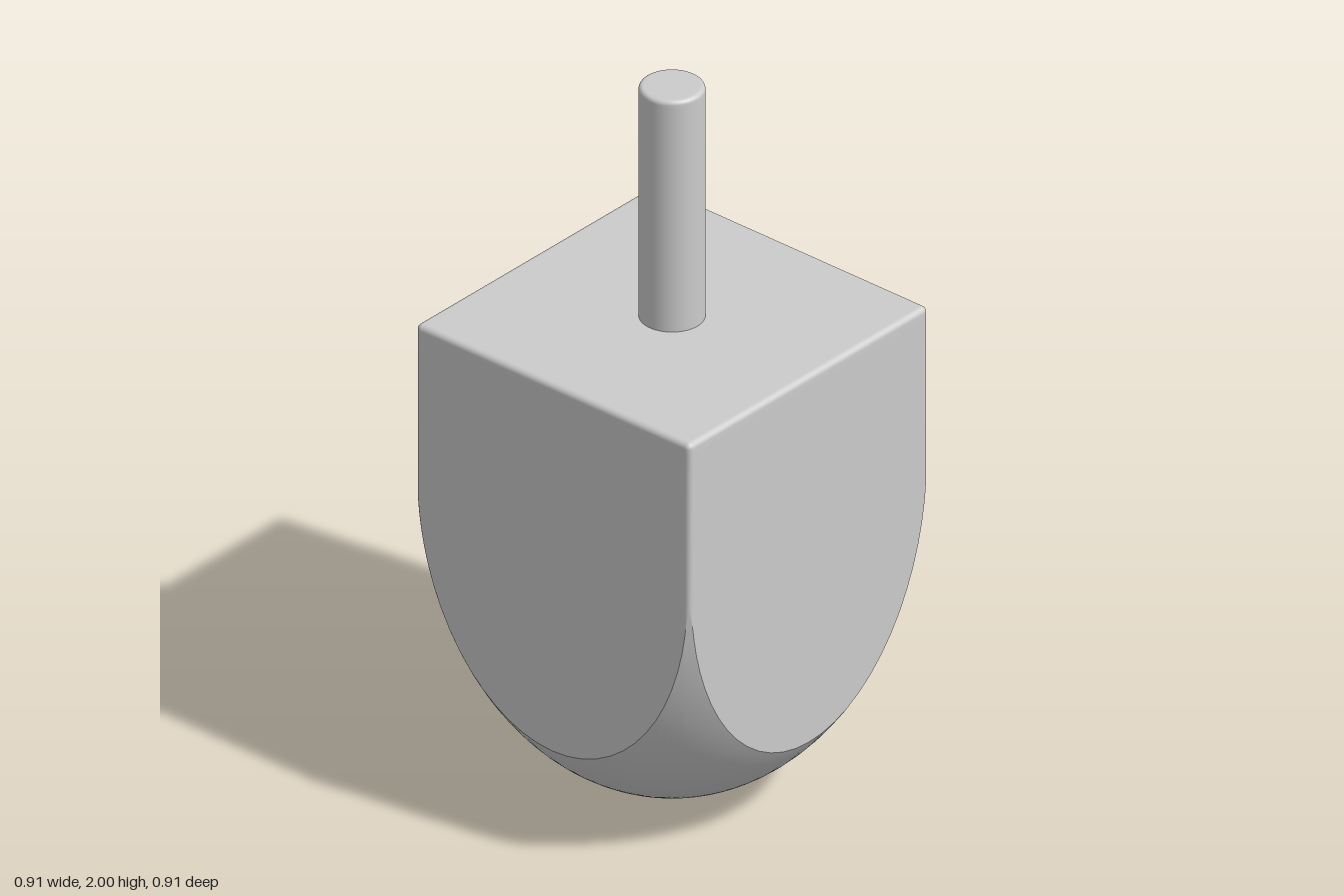
import * as THREE from 'three';

const HALF = 0.455, ROUND = 0.015, TOP = 1.33; // block half width, edge rounding, top height
const RX = 0.638, RY = 0.885; // ellipsoid radii of the rounded underside

// Height of the ellipsoid underside at a distance r from the axis
const underside = (r) => RY * (1 - Math.sqrt(Math.max(0, 1 - (r * r) / (RX * RX))));

// Rounded square outline, optionally pulled inward by inset
function outline(inset = 0) {
  const pts = [], flat = HALF - ROUND, radius = ROUND - inset, sideSteps = 28, arcSteps = 6;
  for (let side = 0; side < 4; side++) {
    const a = side * Math.PI / 2, cos = Math.cos(a), sin = Math.sin(a);
    const add = (x, z) => pts.push([x * cos - z * sin, x * sin + z * cos]);
    // straight side, with points closer together towards the corners
    for (let i = 0; i < sideSteps; i++) {
      add(flat + radius, flat * Math.sin((i / sideSteps - 0.5) * Math.PI));
    }
    // rounded corner
    for (let i = 0; i < arcSteps; i++) {
      const b = (i / arcSteps) * Math.PI / 2;
      add(flat + radius * Math.cos(b), flat + radius * Math.sin(b));
    }
  }
  return pts;
}

// Skin closed rings of [x, y, z] points, given in order
function loft(rings) {
  const n = rings[0].length, index = [];
  for (let i = 0; i < rings.length - 1; i++) {
    for (let j = 0; j < n; j++) {
      const k = (j + 1) % n;
      const a = i * n + j, b = i * n + k, c = b + n, d = a + n;
      index.push(a, d, b, b, d, c);
    }
  }
  const g = new THREE.BufferGeometry();
  g.setAttribute('position', new THREE.Float32BufferAttribute(rings.flat(2), 3));
  g.setIndex(index);
  g.computeVertexNormals();
  return g;
}

export function createModel() {
  const model = new THREE.Group();
  model.name = 'spinningTop';
  const material = new THREE.MeshStandardMaterial({ color: 0xcccccc });
  const add = (name, geometry) => {
    const mesh = new THREE.Mesh(geometry, material);
    mesh.name = name;
    model.add(mesh);
  };

  // Square walls, cut off below by the ellipsoid, with a rounded upper edge
  const rim = outline();
  const walls = [rim.map(([x, z]) => [x, underside(Math.hypot(x, z)), z])];
  walls.push(rim.map(([x, z]) => [x, TOP - ROUND * 2, z]));
  for (let i = 0; i <= 5; i++) {
    const b = (i / 5) * Math.PI / 2;
    const y = TOP - ROUND + ROUND * Math.sin(b);
    walls.push(outline(ROUND * (1 - Math.cos(b))).map(([x, z]) => [x, y, z]));
  }
  add('bodyWalls', loft(walls));

  // Flat top face
  const lid = outline(ROUND);
  add('bodyTop', loft([1, 0].map((s) => lid.map(([x, z]) => [x * s, TOP, z * s]))));

  // Rounded underside, running from the tip out to the walls
  const cap = [];
  const steps = 40;
  for (let i = 0; i <= steps; i++) {
    const s = Math.sin((i / steps) * Math.PI / 2);
    cap.push(rim.map(([x, z]) => [x * s, underside(Math.hypot(x, z) * s), z * s]));
  }
  add('roundedTip', loft(cap));

  // Round handle with a softened top edge
  const radius = 0.084, soft = 0.012;
  const profile = [[radius, TOP - 0.02], [radius, 1.98]];
  for (let i = 0; i <= 6; i++) {
    const b = (i / 6) * Math.PI / 2;
    profile.push([radius - soft + soft * Math.cos(b), 2 - soft + soft * Math.sin(b)]);
  }
  profile.push([radius - soft - 0.002, 2], [0, 2]);
  add('handle', new THREE.LatheGeometry(profile.map(([x, y]) => new THREE.Vector2(x, y)), 64));

  return model;
}
